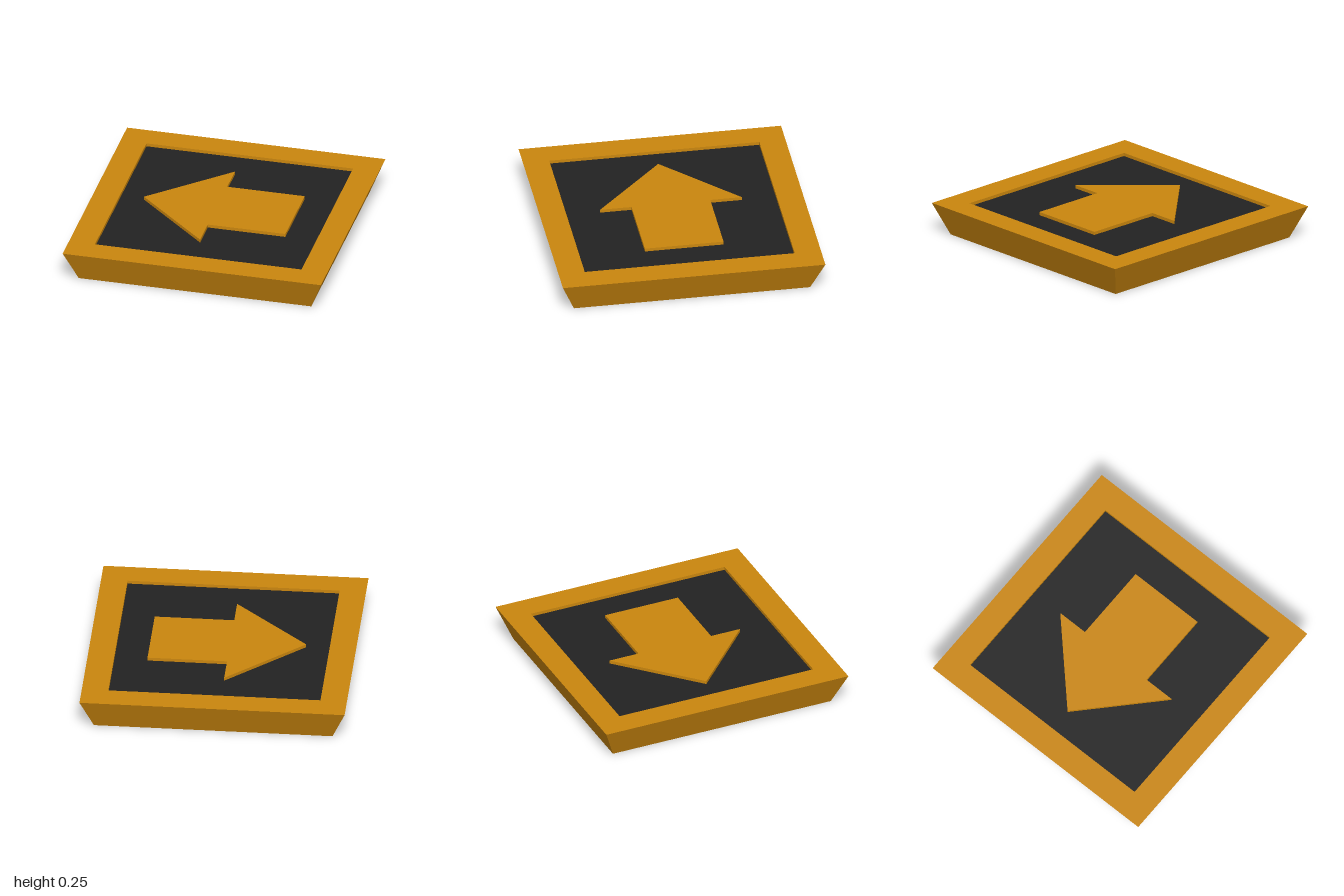
import * as THREE from 'three';

const TOP = 0.25;     // height of the rim and arrow
const RECESS = 0.025; // depth of the sunken panel

function material(name, color) {
  const m = new THREE.MeshStandardMaterial({ color });
  m.name = name;
  return m;
}

function part(name, geometry, mat) {
  const mesh = new THREE.Mesh(geometry, mat);
  mesh.name = name;
  return mesh;
}

export function createModel() {
  const amber = material('amber', 0xca860e);
  const charcoal = material('charcoal', 0x222222);
  const group = new THREE.Group();
  group.name = 'arrowTile';

  // Flared square tray: underside, sloped sides, rim and recess walls as half-width/height pairs
  const profile = [[0, 0], [0.9, 0], [1, TOP], [0.8, TOP], [0.8, TOP - RECESS]]
    .map(([half, y]) => new THREE.Vector2(half * Math.SQRT2, y));
  const tray = new THREE.LatheGeometry(profile, 4, Math.PI / 4).toNonIndexed();
  tray.computeVertexNormals();
  group.add(part('tray', tray, amber));

  // Sunken dark panel
  const panel = new THREE.PlaneGeometry(1.6, 1.6);
  panel.rotateX(-Math.PI / 2).translate(0, TOP - RECESS, 0);
  group.add(part('panel', panel, charcoal));

  // Raised arrow pointing to -x, flush with the rim
  const outline = [[-0.62, 0], [-0.05, -0.54], [-0.05, -0.3], [0.55, -0.3],
    [0.55, 0.3], [-0.05, 0.3], [-0.05, 0.54]].map(([x, y]) => new THREE.Vector2(x, y));
  const arrow = new THREE.ExtrudeGeometry(new THREE.Shape(outline), { depth: RECESS, bevelEnabled: false });
  arrow.rotateX(-Math.PI / 2).translate(0, TOP - RECESS, 0);
  group.add(part('arrow', arrow, amber));

  return group;
}
